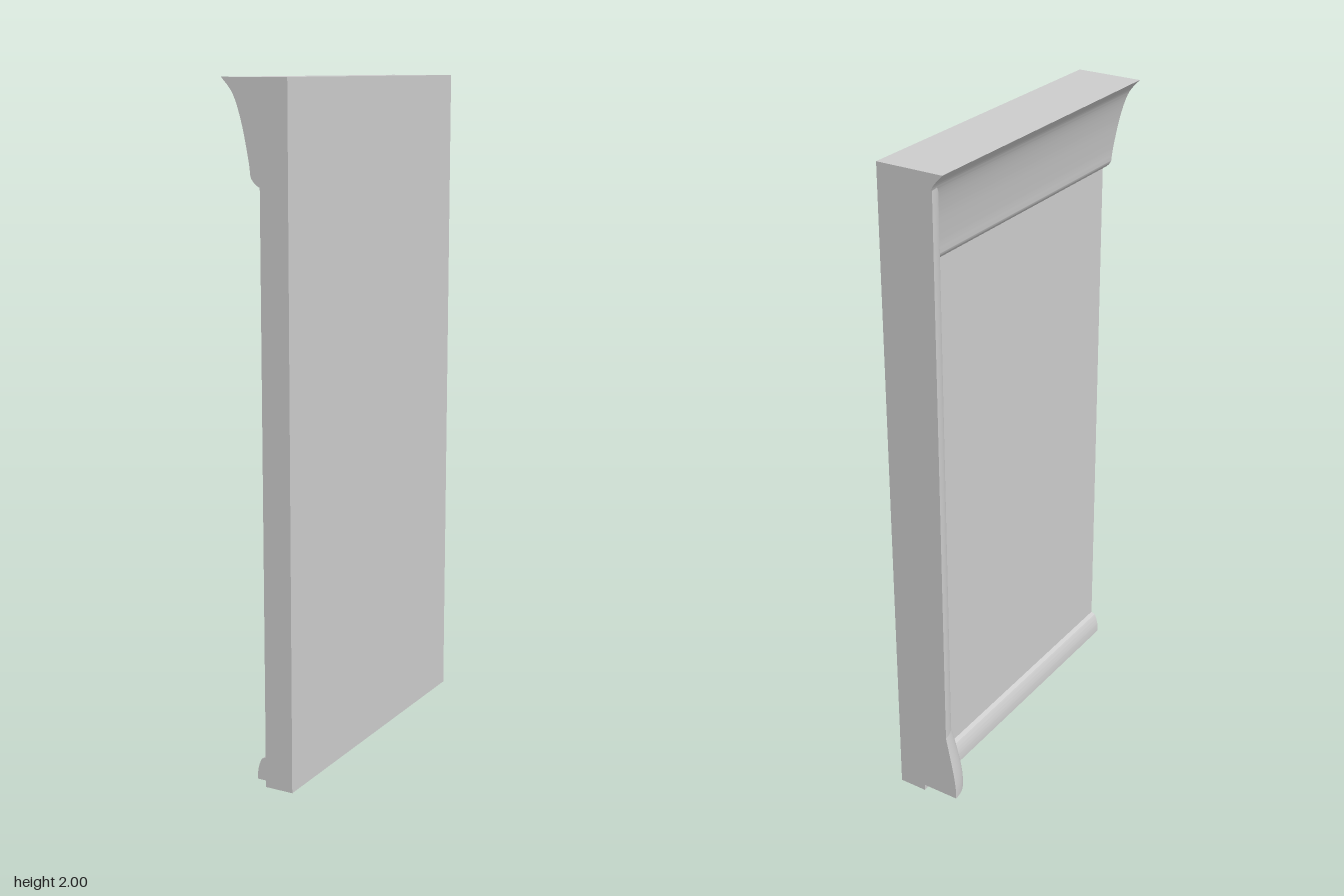
import * as THREE from 'three';
import { toCreasedNormals } from 'three/addons/utils/BufferGeometryUtils.js';

const FACE = 0.015;   // x of the panel's decorated face
const BACK = 0.1025;  // x of the panel's plain face
const LENGTH = 1;     // extent along z

export function createModel() {
  const group = new THREE.Group();
  const material = new THREE.MeshStandardMaterial({ color: 0xcccccc });

  function add(name, geometry, parent = group) {
    const mesh = new THREE.Mesh(geometry, material);
    mesh.name = name;
    parent.add(mesh);
    return mesh;
  }

  // Extrudes an x-y outline along the whole wall
  function moulding(name, shape) {
    const geo = new THREE.ExtrudeGeometry(shape, { depth: LENGTH, bevelEnabled: false, curveSegments: 12 });
    geo.translate(0, 0, -LENGTH / 2);
    return add(name, toCreasedNormals(geo, 0.5));
  }

  // Flat wall panel
  const panel = new THREE.BoxGeometry(BACK - FACE, 2, LENGTH);
  panel.translate((BACK + FACE) / 2, 1, 0);
  add('wallPanel', panel);

  // Coved cornice with a small lower lip
  const cornice = new THREE.Shape();
  cornice.moveTo(FACE, 2);
  cornice.lineTo(-0.1025, 2);
  cornice.splineThru([
    new THREE.Vector2(-0.066, 1.955),
    new THREE.Vector2(-0.04, 1.88),
    new THREE.Vector2(-0.02, 1.785),
    new THREE.Vector2(-0.014, 1.74),
  ]);
  cornice.quadraticCurveTo(-0.008, 1.722, FACE, 1.71);
  moulding('cornice', cornice);

  // Skirting with a rounded upper edge
  const skirting = new THREE.Shape();
  skirting.moveTo(FACE, 0.02);
  skirting.lineTo(FACE, 0.09);
  skirting.lineTo(0.002, 0.084);
  skirting.quadraticCurveTo(-0.008, 0.066, -0.011, 0.042);
  skirting.lineTo(-0.011, 0.02);
  moulding('skirting', skirting);

  // Quarter-round engaged column with a flared foot
  const column = new THREE.Group();
  column.name = 'quarterColumn';
  column.position.set(FACE, 0, -LENGTH / 2);
  group.add(column);

  const foot = new THREE.SplineCurve([
    new THREE.Vector2(0.1175, 0.02),
    new THREE.Vector2(0.1165, 0.06),
    new THREE.Vector2(0.108, 0.12),
    new THREE.Vector2(0.085, 0.235),
  ]).getPoints(12);
  const profile = [...foot, new THREE.Vector2(0.085, 0.236), new THREE.Vector2(0.085, 1.955)];
  add('columnShaft', new THREE.LatheGeometry(profile, 20, Math.PI * 1.5, Math.PI / 2), column);

  // Flat end of the column, facing -z
  const end = new THREE.Shape([new THREE.Vector2(0, 0.02), ...profile, new THREE.Vector2(0, 1.955)]);
  add('columnEnd', new THREE.ShapeGeometry(end), column).rotation.y = Math.PI;

  // Underside of the foot
  const sole = add('columnSole', new THREE.CircleGeometry(0.1175, 20, Math.PI / 2, Math.PI / 2), column);
  sole.rotation.x = Math.PI / 2;
  sole.position.y = 0.02;

  return group;
}
